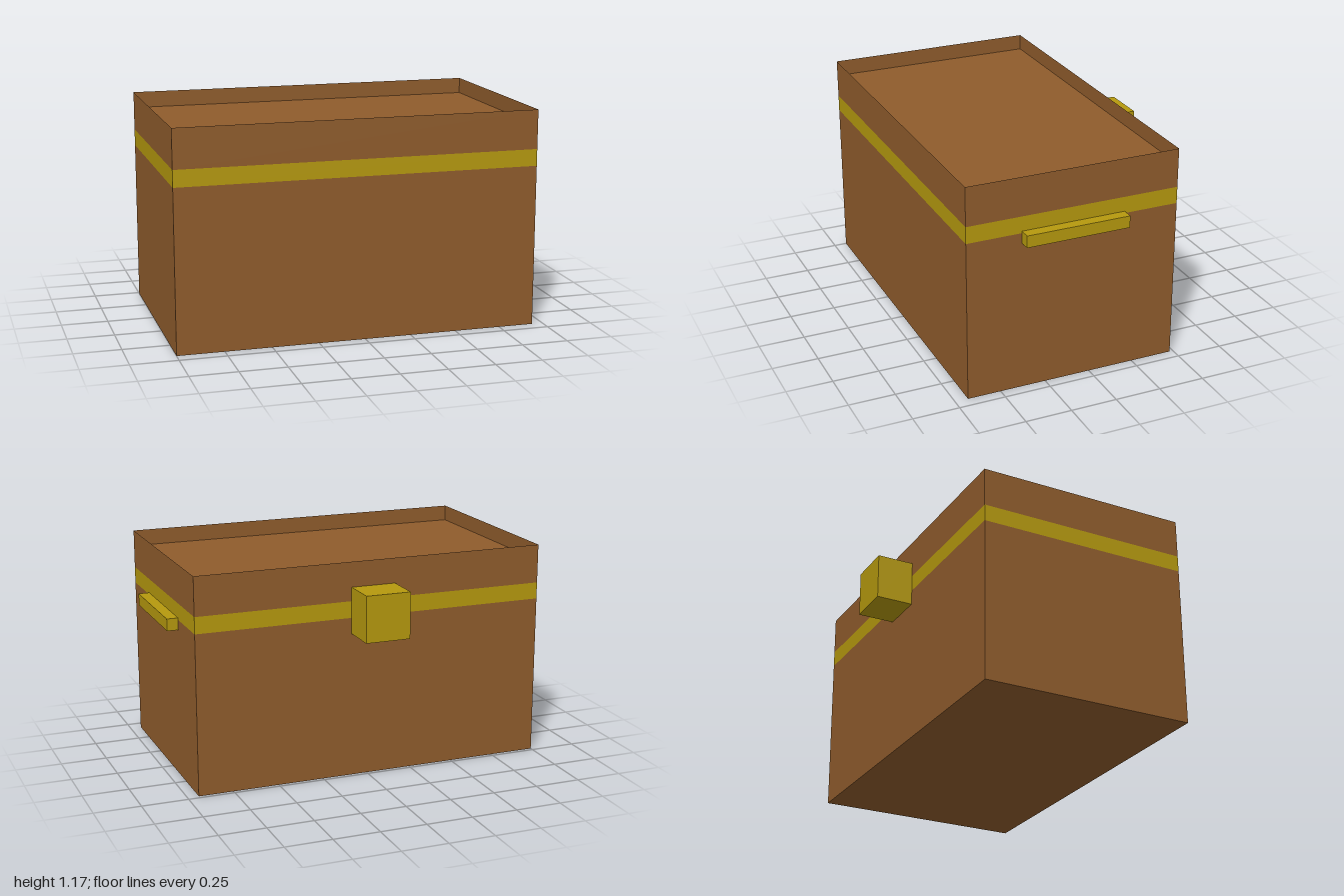
import * as THREE from 'three';

export function createModel() {
  const root = new THREE.Group();
  root.name = 'chest';

  const wood = new THREE.MeshStandardMaterial({ color: 0x8f5c2c, side: THREE.DoubleSide });
  wood.name = 'brown wood';
  const brass = new THREE.MeshStandardMaterial({ color: 0xb5990e, side: THREE.DoubleSide });
  brass.name = 'brass';

  // Footprint of the chest body
  const x0 = -1, x1 = 0.94, z0 = -0.48, z1 = 0.68;
  const w = x1 - x0, d = z1 - z0, cx = (x0 + x1) / 2, cz = (z0 + z1) / 2;

  function add(name, geometry, material, x, y, z, parent = root) {
    const mesh = new THREE.Mesh(geometry, material);
    mesh.name = name;
    mesh.position.set(x, y, z);
    parent.add(mesh);
    return mesh;
  }

  // Ring of four thin walls between two heights
  function walls(name, bottom, top, material) {
    const ring = new THREE.Group();
    ring.name = name;
    const y = (bottom + top) / 2, h = top - bottom;
    for (let i = 0; i < 4; i++) {
      const a = i * Math.PI / 2, across = i % 2 === 0;
      add(name + 'Side', new THREE.PlaneGeometry(across ? w : d, h), material,
        cx + Math.sin(a) * w / 2, y, cz + Math.cos(a) * d / 2, ring).rotation.y = a;
    }
    root.add(ring);
  }

  walls('lowerBody', 0, 0.87, wood);
  walls('trimBand', 0.87, 0.96, brass);
  walls('lidRim', 0.96, 1.17, wood);

  // Underside and recessed lid panel
  add('base', new THREE.PlaneGeometry(w, d), wood, cx, 0, cz).rotation.x = Math.PI / 2;
  add('lidPanel', new THREE.PlaneGeometry(w, d), wood, cx, 1.083, cz).rotation.x = -Math.PI / 2;

  // Clasp on the back, handle on the left side
  add('clasp', new THREE.BoxGeometry(0.245, 0.25, 0.2), brass, -0.032, 0.91, -0.582);
  add('handle', new THREE.BoxGeometry(0.06, 0.065, 0.565), brass, 0.97, 0.848, 0.1);

  return root;
}
